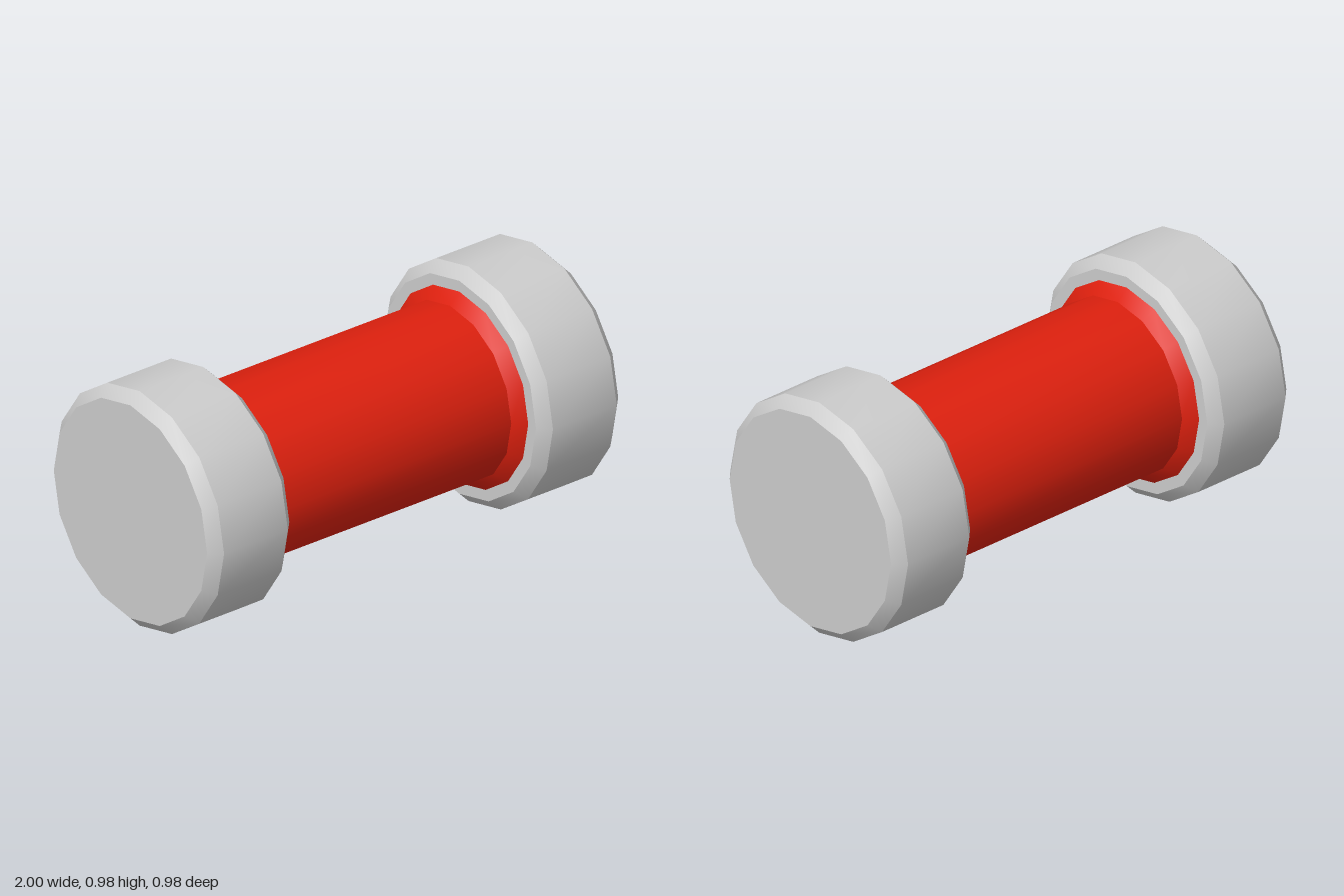
import * as THREE from 'three';
import { toCreasedNormals } from 'three/addons/utils/BufferGeometryUtils.js';

const SIDES = 16;
const RADIUS = 0.49;

// Turns a [radius, position] profile around the x axis, keeping the chamfers crisp
function turned(name, profile, color) {
  const points = profile.map(([r, x]) => new THREE.Vector2(r, x));
  const geometry = new THREE.LatheGeometry(points, SIDES);
  geometry.rotateZ(-Math.PI / 2);
  const material = new THREE.MeshStandardMaterial({ color });
  const mesh = new THREE.Mesh(toCreasedNormals(geometry, 0.6), material);
  mesh.name = name;
  return mesh;
}

export function createModel() {
  const group = new THREE.Group();
  group.name = 'spool';

  // Red barrel, flaring where it meets the end caps
  const barrel = turned('barrel', [
    [0.4, -0.6], [0.355, -0.555], [0.355, 0.555], [0.4, 0.6],
  ], 0xdd200e);
  barrel.position.y = RADIUS;
  group.add(barrel);

  // Chamfered end caps, one at each end
  for (const side of [1, -1]) {
    const cap = turned(side > 0 ? 'leftCap' : 'rightCap', [
      [0, -0.2], [0.445, -0.2], [RADIUS, -0.155],
      [RADIUS, 0.155], [0.445, 0.2], [0, 0.2],
    ], 0xcccccc);
    cap.position.set(side * 0.8, RADIUS, 0);
    group.add(cap);
  }

  return group;
}
